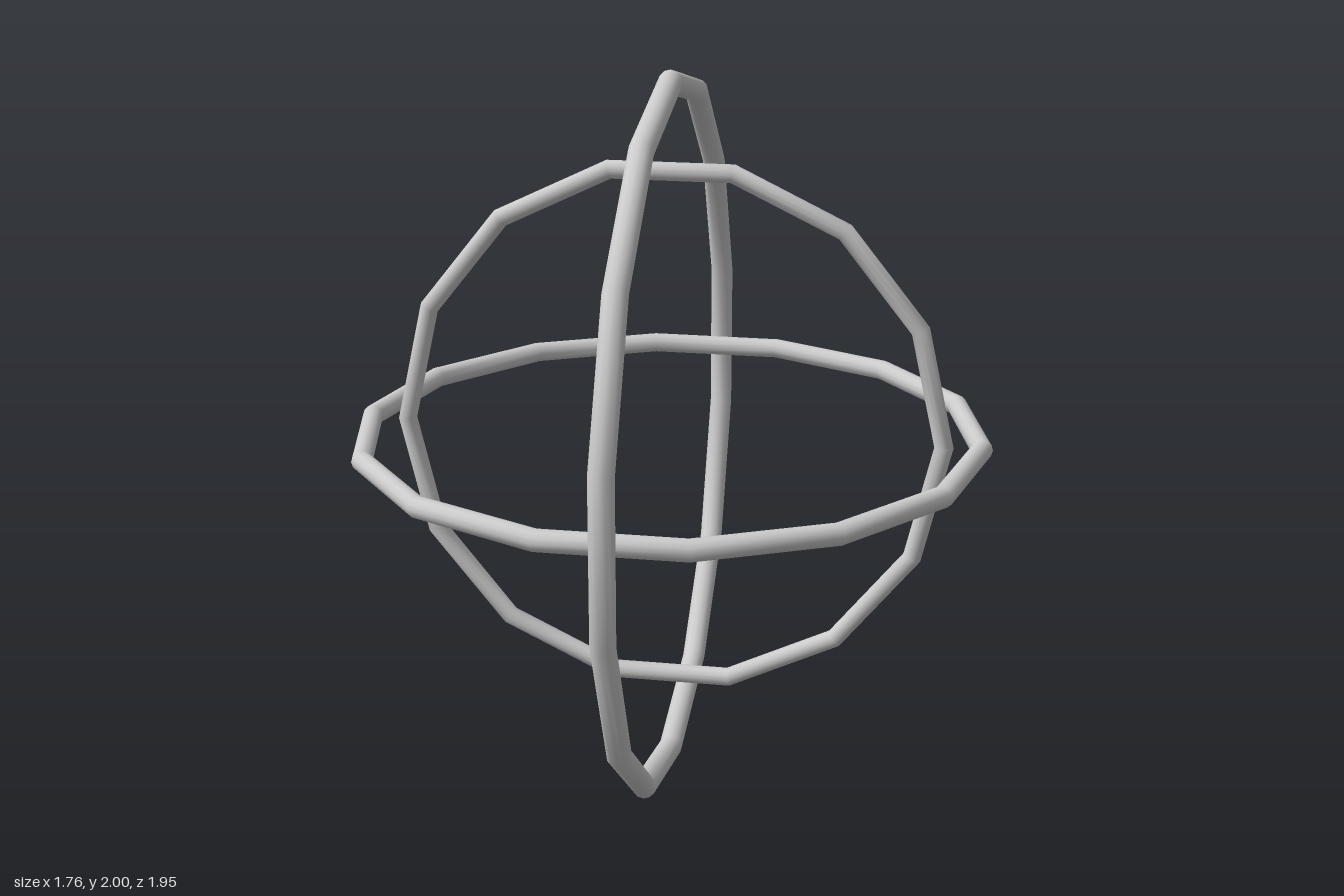
import * as THREE from 'three';

export function createModel() {
  const model = new THREE.Group();
  const material = new THREE.MeshStandardMaterial({ color: 0xcccccc });

  // A ring of 14 straight sections with a corner on its local x axis.
  function addRing(name, radius, tube) {
    const geometry = new THREE.TorusGeometry(radius, tube, 12, 14);
    const ring = new THREE.Mesh(geometry, material);
    ring.name = name;
    ring.position.y = 1;
    model.add(ring);
    return geometry;
  }

  // Outer ring: upright, facing sideways, corners at top and bottom
  addRing('outerRing', 0.967, 0.033).rotateZ(Math.PI / 2).rotateY(Math.PI / 2);

  // Middle ring: lying flat, corners at left and right
  addRing('middleRing', 0.851, 0.029).rotateX(Math.PI / 2);

  // Inner ring: upright, facing the front
  addRing('innerRing', 0.749, 0.026);

  return model;
}
